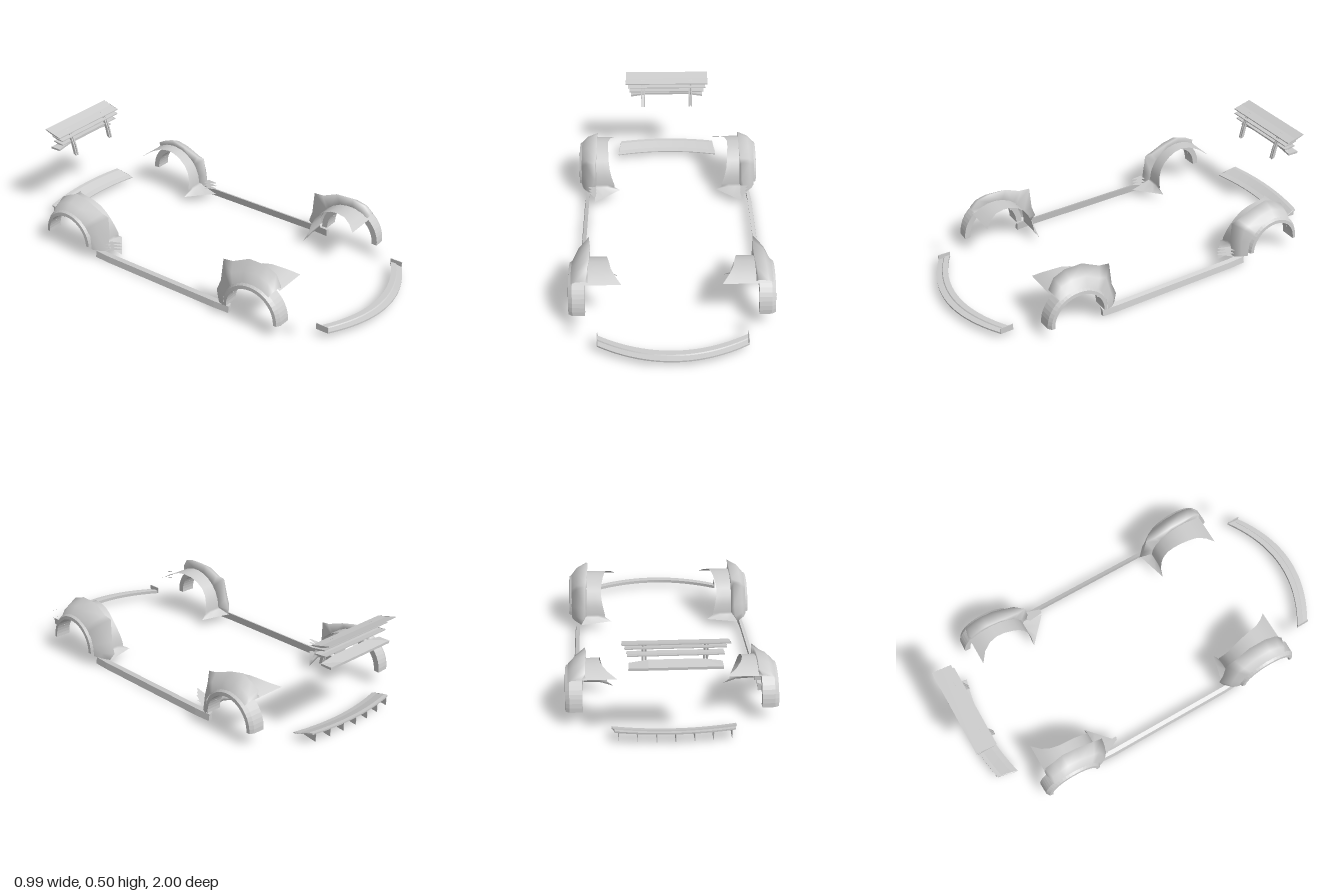
import * as THREE from 'three';

const grey = new THREE.MeshStandardMaterial({ color: 0xcccccc, side: THREE.DoubleSide });
grey.name = 'light grey';
const oneSided = grey; // shared paint
const RAD = Math.PI / 180;

// Skin a surface over rows of [x, y, z] points; closed rows are capped into a solid.
function loft(rows, closed = false, smooth = true) {
  const n = rows[0].length, idx = [], pos = rows.flat(2);
  for (let i = 0; i < rows.length - 1; i++) {
    for (let j = 0; j < (closed ? n : n - 1); j++) {
      const a = i * n + j, b = i * n + (j + 1) % n;
      idx.push(a, b, a + n, b, b + n, a + n);
    }
  }
  if (closed) {
    const last = (rows.length - 1) * n;
    for (let j = 1; j < n - 1; j++) idx.push(0, j + 1, j, last, last + j, last + j + 1);
  }
  let g = new THREE.BufferGeometry();
  g.setAttribute('position', new THREE.Float32BufferAttribute(pos, 3));
  g.setIndex(idx);
  if (!smooth) g = g.toNonIndexed();
  g.computeVertexNormals();
  return g;
}

function add(parent, name, geometry) {
  const m = new THREE.Mesh(geometry, oneSided);
  m.name = name;
  parent.add(m);
  return m;
}

function box(parent, name, w, h, d, x, y, z) {
  const m = add(parent, name, new THREE.BoxGeometry(w, h, d));
  m.position.set(x, y, z);
  return m;
}

// Wheel arch: s is +1 at the front axle, -1 at the rear one.
function wheelArch(name, { s, zc, yc, r, outline, linerX, tip, corner }) {
  const g = new THREE.Group();
  g.name = name;

  // Flare: chamfered band swept round the wheel opening
  const profile = [[0.415, r], [0.475, r - 0.002], [0.494, r - 0.014], [0.496, r - 0.031], [0.415, r - 0.031]];
  const sweep = [];
  for (let i = 0; i <= 24; i++) {
    const a = (-2 + 184 * i / 24) * RAD;
    sweep.push(profile.map(([x, q]) => [x, yc + q * Math.sin(a), zc + s * q * Math.cos(a)]));
  }
  add(g, 'archFlare', loft(sweep, true, false));

  // Bolts on the underside of the flare
  for (const deg of [25, 65, 115, 155]) {
    const a = deg * RAD, q = r - 0.032;
    const bolt = add(g, 'flareBolt', new THREE.CylinderGeometry(0.004, 0.004, 0.004, 8));
    bolt.position.set(0.455, yc + q * Math.sin(a), zc + s * q * Math.cos(a));
    bolt.rotation.x = s * (90 - deg) * RAD;
  }

  // Inner liner, arching over the wheel and ending in a flared foot
  const liner = linerX.map((x, i) => {
    const a = (50 + 130 * i / (linerX.length - 1)) * RAD;
    const y = yc + 0.18 * Math.sin(a), z = zc + s * 0.18 * Math.cos(a);
    return [0, 0.33, 0.67, 1].map(t => [x + (0.415 - x) * t, y, z]);
  });
  const foot = t => [tip[0] + (corner[0] - tip[0]) * t, 0.038, tip[1] + (corner[1] - tip[1]) * t];
  const heel = liner.at(-1).map(([x, , z]) => [x, 0.06, z]);
  liner.push(heel, [0, 0.33, 0.67, 1].map(foot));
  add(g, 'wheelLiner', loft(liner));

  // Raised fender between liner and flare
  const fender = outline.map(([z, y, x], i) => {
    const a = (i < outline.length - 1) ? Math.min(Math.atan2(y - yc, s * (z - zc)), Math.PI) : Math.PI;
    const b = a < 0 ? Math.PI : a;
    const on = (px, q) => [px, yc + q * Math.sin(b), zc + s * q * Math.cos(b)];
    const out = on(0.482, r - 0.004);
    if (i >= outline.length - 2) out[1] = Math.max(y, 0.055);
    return [on(0.4, 0.18), [x, y, z], [(x + out[0]) / 2 + 0.012, (y + out[1]) / 2 + 0.004, (z + out[2]) / 2], out];
  });
  add(g, 'fender', loft(fender));
  return g;
}

// Everything mirrored left and right
function sideParts() {
  const g = new THREE.Group();
  g.add(wheelArch('frontArch', {
    s: 1, zc: 0.535, yc: 0.073, r: 0.167,
    outline: [[0.655, 0.235, 0.41], [0.62, 0.285, 0.4], [0.556, 0.305, 0.392], [0.46, 0.304, 0.392], [0.37, 0.262, 0.4],
      [0.318, 0.258, 0.405], [0.306, 0.134, 0.41], [0.285, 0.075, 0.415], [0.305, 0.038, 0.43]],
    linerX: [0.24, 0.27, 0.292, 0.3, 0.308, 0.315, 0.32, 0.318, 0.31, 0.3],
    tip: [0.265, 0.345], corner: [0.43, 0.3],
  }));
  g.add(wheelArch('rearArch', {
    s: -1, zc: -0.63, yc: 0.076, r: 0.159,
    outline: [[-0.748, 0.215, 0.42], [-0.738, 0.246, 0.4], [-0.69, 0.273, 0.4], [-0.636, 0.293, 0.395], [-0.556, 0.273, 0.395],
      [-0.46, 0.236, 0.4], [-0.417, 0.23, 0.405], [-0.411, 0.13, 0.41], [-0.41, 0.042, 0.43]],
    linerX: [0.254, 0.3, 0.325, 0.335, 0.335, 0.332, 0.33, 0.325, 0.315, 0.3],
    tip: [0.27, -0.455], corner: [0.405, -0.335],
  }));

  // Pointed vanes ahead of the rear wheel
  for (const y of [0.05, 0.068, 0.086]) {
    add(g, 'sideVane', loft([
      [[0.4, y, -0.415], [0.445, y, -0.415]],
      [[0.402, y + 0.02, -0.335], [0.41, y + 0.02, -0.335]],
    ]));
  }

  // Side skirt, a slightly leaning sill
  add(g, 'sideSkirt', loft([0.385, 0.3, -0.38, -0.47].map((z, i) => {
    const o = (i === 0 || i === 3) ? -0.005 : 0;
    return [[0.438 + o, 0.042, z], [0.458 + o, 0.034, z], [0.464 + o, 0.001, z], [0.444 + o, 0, z]];
  }), true, false));

  // Two small corner blades on the nose
  for (const y of [0.113, 0.152]) {
    const blade = add(g, 'cornerBlade', loft([
      [[0.394, y + 0.008, 0.82], [0.394, y + 0.012, 0.785]],
      [[0.415, y, 0.812], [0.415, y + 0.014, 0.785]],
      [[0.434, y + 0.002, 0.79], [0.434, y + 0.006, 0.785]],
    ]));
    blade.material = downFacing;
  }

  // Wing struts in pairs, leaning back
  for (const x of [0.13, 0.143]) {
    add(g, 'wingStrut', loft([[0.342, -0.872], [0.4, -0.885], [0.44, -0.9], [0.475, -0.915]].map(([y, z]) =>
      [[x - 0.004, y, z], [x + 0.004, y, z], [x + 0.004, y + 0.008, z - 0.018], [x - 0.004, y + 0.008, z - 0.018]]), true, false));
  }
  return g;
}
const downFacing = new THREE.MeshStandardMaterial({ color: 0xcccccc });
downFacing.name = 'light grey thin blade';

// Wing element: an airfoil slice spanning the width
function wingBlade(parent, name, half, front, rear, thick, taper = 0) {
  const mid = [(front[0] + rear[0]) / 2 - thick, (front[1] + rear[1]) / 2];
  const slice = (x, d) => [[x, front[0], front[1]], [x, mid[0] + thick * 0.5, mid[1]], [x, rear[0], rear[1]],
    [x, rear[0] - d, rear[1]], [x, mid[0] - d, mid[1]], [x, front[0] - d, front[1]]];
  const inner = half * (1 - taper);
  add(parent, name, loft([-half, -inner, inner, half].map(x => slice(x, thick)), true, false));
}

export function createModel() {
  const model = new THREE.Group();
  model.name = 'bodyKit';
  const left = sideParts();
  left.name = 'leftSide';
  const right = sideParts();
  right.name = 'rightSide';
  right.scale.x = -1;
  model.add(left, right);

  // Front splitter: curved lip with a stepped top and upright ends
  const lip = [];
  for (let i = 0; i <= 24; i++) {
    const x = -0.353 + 0.706 * i / 24, z = 1 - 0.115 * (x / 0.353) ** 2;
    lip.push([[x, 0.032, z], [x, 0.04, z], [x, 0.043, z - 0.03], [x, 0.048, z - 0.034], [x, 0.048, z - 0.063], [x, 0.032, z - 0.063]]);
  }
  add(model, 'frontSplitter', loft(lip, true, false));
  for (const sx of [-1, 1]) box(model, 'splitterEnd', 0.004, 0.032, 0.065, sx * 0.353, 0.05, 0.853);

  // Rear diffuser: bowed panel rising to the tail, with fins beneath
  const bow = x => (x / 0.285) ** 2;
  const panel = [];
  for (let i = 0; i <= 16; i++) {
    const x = -0.285 + 0.57 * i / 16, f = -0.892 + 0.037 * bow(x), r = -0.99 + 0.03 * bow(x), k = 0.955;
    panel.push([[x, 0.032, f], [x, 0.04, f - 0.03], [x * k, 0.06, r + 0.02], [x * k, 0.062, r],
      [x * k, 0.054, r], [x * k, 0.053, r + 0.02], [x, 0.034, f - 0.03], [x, 0.027, f]]);
  }
  add(model, 'diffuserPanel', loft(panel, true, false));
  for (let i = -3; i <= 3; i++) {
    const x = i * 0.085, f = -0.895 + 0.037 * bow(x), r = -0.99 + 0.03 * bow(x);
    const side = d => [[x + d, 0.03, f], [x + d, 0.058, r], [x + d, 0.016, r], [x + d, 0.018, r + 0.025]];
    add(model, 'diffuserFin', loft([side(-0.0015), side(0.0015)], true, false));
  }

  // Stacked rear wing
  const wing = new THREE.Group();
  wing.name = 'rearWing';
  model.add(wing);
  wingBlade(wing, 'topWing', 0.235, [0.475, -0.9], [0.501, -1], 0.005);
  wingBlade(wing, 'secondWing', 0.222, [0.455, -0.892], [0.467, -0.965], 0.005);
  wingBlade(wing, 'thirdWing', 0.213, [0.427, -0.9], [0.433, -0.965], 0.005);
  // Lowest plane with a raised middle
  const plane = [-0.207, -0.12, 0.12, 0.207].map((x, i) => {
    const y = (i === 1 || i === 2) ? 0.399 : 0.386;
    return [[x, y, -0.935], [x, 0.386, -0.995], [x, 0.374, -0.995], [x, y - 0.01, -0.935]];
  });
  add(wing, 'lowerWing', loft(plane, true, false));
  return model;
}
